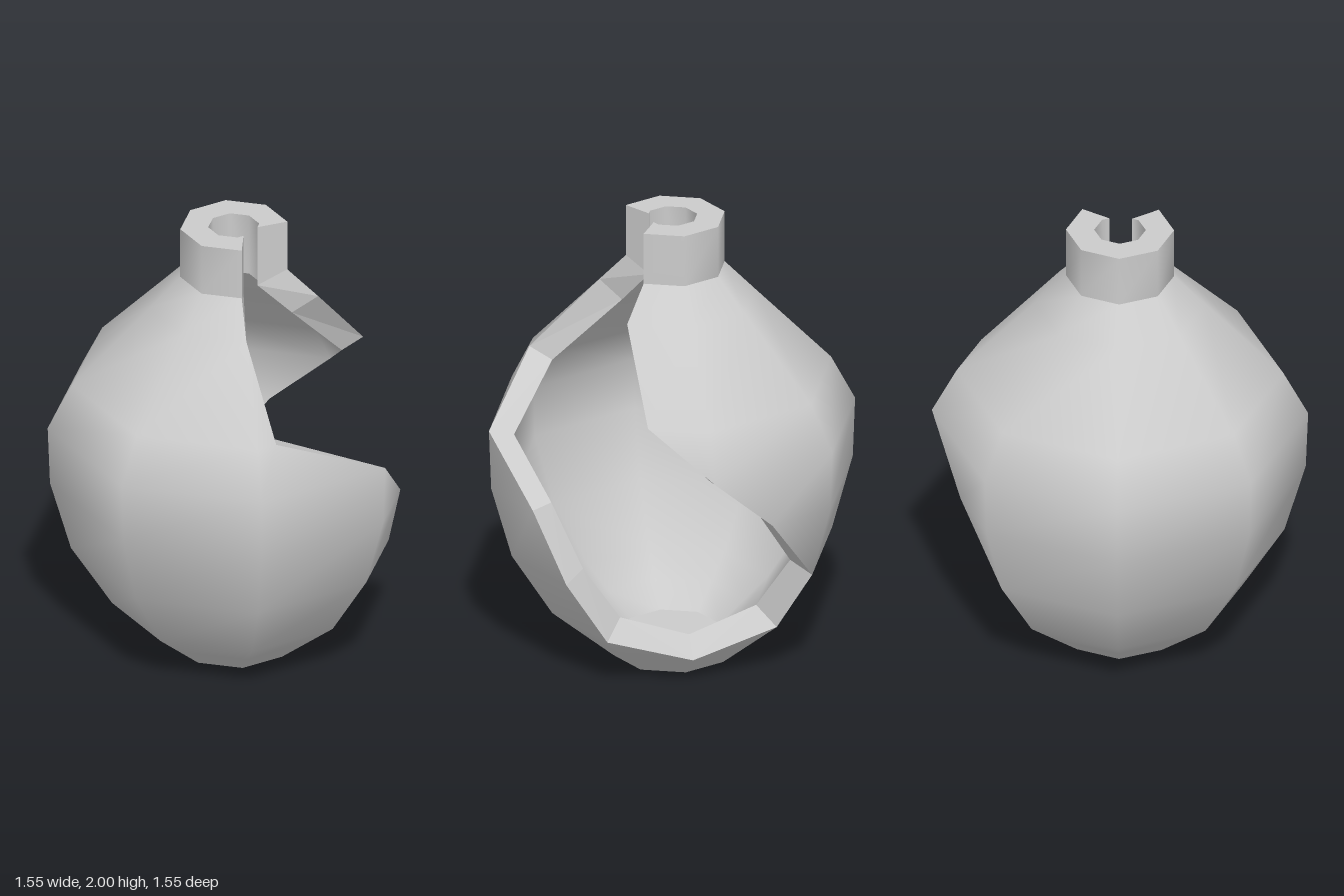
import * as THREE from 'three';
import { mergeVertices } from 'three/addons/utils/BufferGeometryUtils.js';

const SIDES = 8;
// Rows from bottom to top: [radius, y, hole left edge, hole right edge].
// Edges are counted in sides, running from the front towards +x.
const OUTER = [
  [0.255, 0, 3, 3], [0.389, 0.11, 3, 3], [0.523, 0.22, 2, 4], [0.7, 0.5, 1.74, 4],
  [0.79, 0.82, 1.5, 3.5], [0.8, 1.085, 1, 3], [0.695, 1.285, 0.17, 2.5],
  [0.363, 1.63, 0, 2], [0.23, 1.77, 0, 2], [0.23, 2, 0, 2],
];
const INNER = [
  [0.21, 0.1, 3, 3], [0.315, 0.2, 3, 3], [0.42, 0.3, 2, 4], [0.59, 0.545, 1.74, 4],
  [0.685, 0.835, 1.5, 3.5], [0.69, 1.06, 1, 3], [0.58, 1.25, 0.22, 2.5],
  [0.25, 1.56, 0, 2], [0.11, 1.72, 0.35, 1.6], [0.11, 2, 0.35, 1.6],
];
const NECK = 8;   // row where the neck starts

// Point on a row, lying on the straight side between two corners
function pointAt([r, y], u) {
  const corner = (i) => {
    const a = THREE.MathUtils.degToRad(120 - (360 / SIDES) * i);
    return new THREE.Vector3(r * Math.cos(a), y, r * Math.sin(a));
  };
  const i = Math.floor(u);
  return corner(i).lerp(corner(i + 1), u - i);
}

// Points of one row from the hole's right edge round the back to its left edge
function rowPoints(row) {
  const points = [];
  for (let k = 1; k <= 11; k++) {
    points.push(pointAt(row, THREE.MathUtils.clamp(k, row[3], row[2] + SIDES)));
  }
  return points;
}

// Strips between successive lines of points; collapsed triangles are skipped
function surface(lines, flip, smooth) {
  const pos = [];
  const tri = (a, b, c) => {
    const area = b.clone().sub(a).cross(c.clone().sub(a)).length();
    if (area < 1e-6) return;
    for (const p of flip ? [a, c, b] : [a, b, c]) pos.push(p.x, p.y, p.z);
  };
  for (let j = 0; j < lines.length - 1; j++) {
    const lo = lines[j], hi = lines[j + 1];
    for (let k = 0; k < lo.length - 1; k++) {
      tri(lo[k], lo[k + 1], hi[k + 1]);
      tri(lo[k], hi[k + 1], hi[k]);
    }
  }
  let geo = new THREE.BufferGeometry();
  geo.setAttribute('position', new THREE.Float32BufferAttribute(pos, 3));
  if (smooth) geo = mergeVertices(geo, 1e-4);
  geo.computeVertexNormals();
  return geo;
}

export function createModel() {
  const group = new THREE.Group();
  const material = new THREE.MeshStandardMaterial({ color: 0xcccccc });
  const add = (name, lines, flip = false, smooth = false) => {
    const mesh = new THREE.Mesh(surface(lines, flip, smooth), material);
    mesh.name = name;
    group.add(mesh);
  };

  const outer = OUTER.map(rowPoints);
  const inner = INNER.map(rowPoints);

  // Walls of the body and neck, outside and inside
  add('outerBody', outer.slice(0, NECK + 1), false, true);
  add('outerNeck', outer.slice(NECK), false, true);
  add('innerBody', inner.slice(0, NECK + 1), true, true);
  add('innerNeck', inner.slice(NECK), true, true);

  // Flat base and inside floor
  const centre = (line) => line.map((p) => new THREE.Vector3(0, p.y, 0));
  add('base', [centre(outer[0]), outer[0]]);
  add('floor', [centre(inner[0]), inner[0]], true);

  // Top of the neck
  add('neckRim', [outer[outer.length - 1], inner[inner.length - 1]]);

  // Broken edges on either side of the hole
  const edge = (rows, column) => rows.slice(1).map((row) => pointAt(row, row[column]));
  add('brokenEdgeLeft', [edge(OUTER, 2), edge(INNER, 2)], true);
  add('brokenEdgeRight', [edge(OUTER, 3), edge(INNER, 3)]);

  return group;
}
